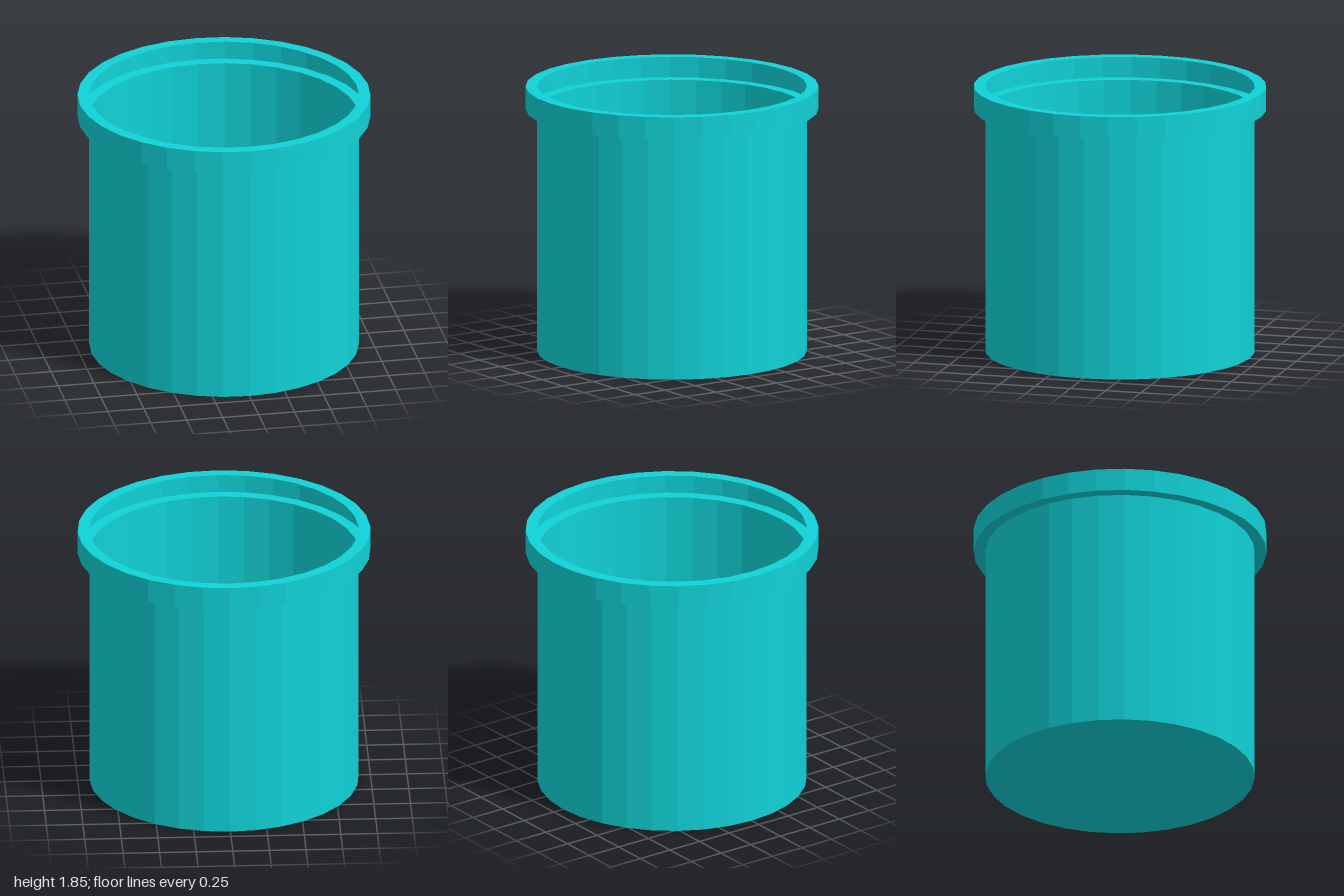
import * as THREE from 'three';

const SIDES = 32;
const BODY_R = 0.92, RIM_R = 1, LEDGE_Y = 1.69, TOP_Y = 1.85;

export function createModel() {
  const group = new THREE.Group();
  group.name = 'tub';
  const material = new THREE.MeshStandardMaterial({
    color: 0x10d2d7, flatShading: true, side: THREE.DoubleSide,
  });

  const add = (name, geometry) => {
    const mesh = new THREE.Mesh(geometry, material);
    mesh.name = name;
    group.add(mesh);
    return mesh;
  };
  const lathe = (points) =>
    new THREE.LatheGeometry(points.map(([r, y]) => new THREE.Vector2(r, y)), SIDES);

  // Flat floor, facing down
  add('floor', new THREE.CircleGeometry(BODY_R, SIDES).rotateX(Math.PI / 2));

  // Thin straight wall, open at the top
  add('wall', lathe([[BODY_R, 0], [BODY_R, LEDGE_Y]]));

  // Hollow rim: ledge, outer band and top lip, open towards the inside
  add('rim', lathe([[BODY_R, LEDGE_Y], [RIM_R, LEDGE_Y], [RIM_R, TOP_Y], [BODY_R, TOP_Y]]));

  return group;
}
